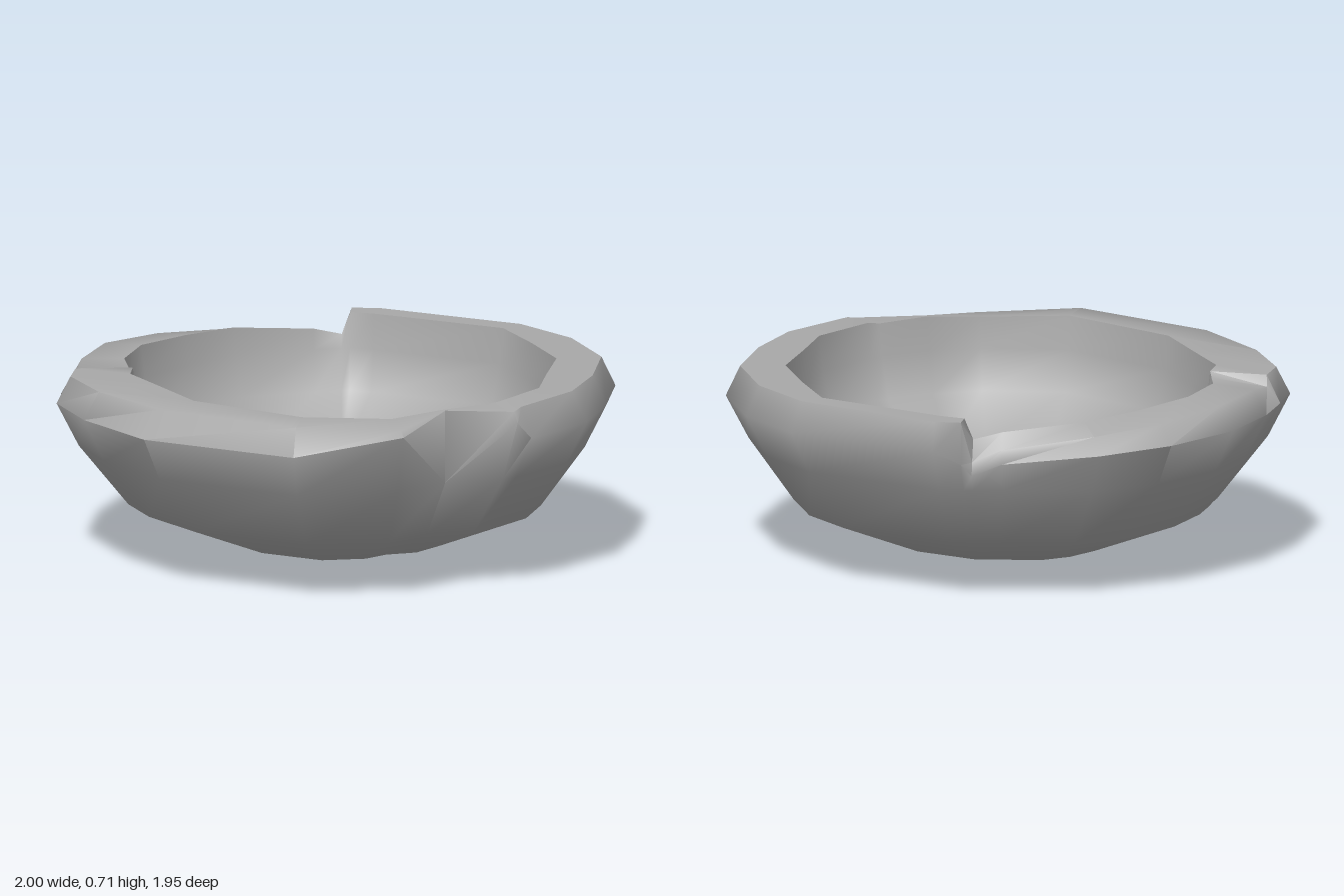
import * as THREE from 'three';
import { toCreasedNormals } from 'three/addons/utils/BufferGeometryUtils.js';

// Stations around the bowl: widest point x, z, then waist height, rim and lip scales, rim height
const STATIONS = [
  [-0.16, -0.98, 0.6, 0.98, 0.885, 0.71],
  [0.44, -0.93, 0.6, 0.95, 0.86, 0.71],
  [0.7, -0.77, 0.6, 0.95, 0.79, 0.71],
  [0.91, -0.51, 0.6, 0.95, 0.79, 0.71],
  [0.98, -0.2, 0.6, 0.95, 0.78, 0.71],
  [1, 0.08, 0.6, 0.94, 0.81, 0.71],
  [0.89, 0.39, 0.6, 0.95, 0.83, 0.71],
  [0.85, 0.425, 0.66, 0.98, 0.83, 0.7], // chip, right corner
  [0.655, 0.565, 0.44, 0.92, 0.9, 0.71], // chip, valley
  [0.53, 0.78, 0.66, 0.97, 0.83, 0.68], // chip, left corner
  [0.17, 0.97, 0.6, 0.94, 0.79, 0.7],
  [-0.44, 0.87, 0.6, 0.92, 0.74, 0.7],
  [-0.75, 0.64, 0.6, 0.94, 0.706, 0.7],
  [-0.93, 0.42, 0.6, 0.95, 0.735, 0.7],
  [-0.955, 0.285, 0.6, 0.95, 0.74, 0.7], // crack, high side
  [-0.965, 0.265, 0.6, 0.95, 0.745, 0.66], // crack, worn side
  [-1, 0.08, 0.6, 0.95, 0.79, 0.69],
  [-1, -0.2, 0.6, 0.95, 0.8, 0.69],
  [-0.9, -0.51, 0.6, 0.94, 0.79, 0.67],
  [-0.72, -0.74, 0.59, 0.94, 0.83, 0.65],
  [-0.39, -0.88, 0.55, 0.96, 0.9, 0.6],
  [-0.285, -0.93, 0.5, 0.94, 0.91, 0.55], // broken step, worn side
  [-0.255, -0.95, 0.55, 0.98, 0.91, 0.71], // broken step, high side
];

// Cross-section of one station, from the base centre up and over into the hollow
function section([x, z, waistY, rim, lip, rimY]) {
  const lipY = (rimY + 0.71) / 2;
  const profile = [
    [0, 0], [0.4, 0.07], [0.75, 0.21], [0.92, 0.44],
    [Math.min(1, 0.92 + (waistY - 0.44) / 2), waistY],
    [rim, rimY], [lip, lipY],
    [lip * 0.98, 0.58], [lip * 0.93, 0.43],
    [lip * 0.73, 0.27], [lip * 0.4, 0.16], [0, 0.11],
  ];
  // The base sits slightly behind the rim
  return profile.map(([s, y]) => [x * s, y, z * s - 0.05 * Math.max(0, 1 - y / 0.44)]);
}

function bowlGeometry() {
  const sections = STATIONS.map(section);
  const count = sections.length;
  const rows = sections[0].length;
  const index = [];
  for (let j = 0; j < count; j++) {
    const n = (j + 1) % count;
    for (let k = 0; k < rows - 1; k++) {
      const a = j * rows + k, b = a + 1;
      const c = n * rows + k, d = c + 1;
      if (k > 0) index.push(a, b, c);
      if (k < rows - 2) index.push(b, d, c);
    }
  }
  const geometry = new THREE.BufferGeometry();
  geometry.setAttribute('position', new THREE.Float32BufferAttribute(sections.flat(2), 3));
  geometry.setIndex(index);
  return toCreasedNormals(geometry, 1.03);
}

export function createModel() {
  const group = new THREE.Group();
  group.name = 'chippedStoneBowl';
  const stone = new THREE.MeshStandardMaterial({ color: 0xa8a8a8 });
  stone.name = 'grey stone';
  const bowl = new THREE.Mesh(bowlGeometry(), stone);
  bowl.name = 'bowl';
  group.add(bowl);
  return group;
}
